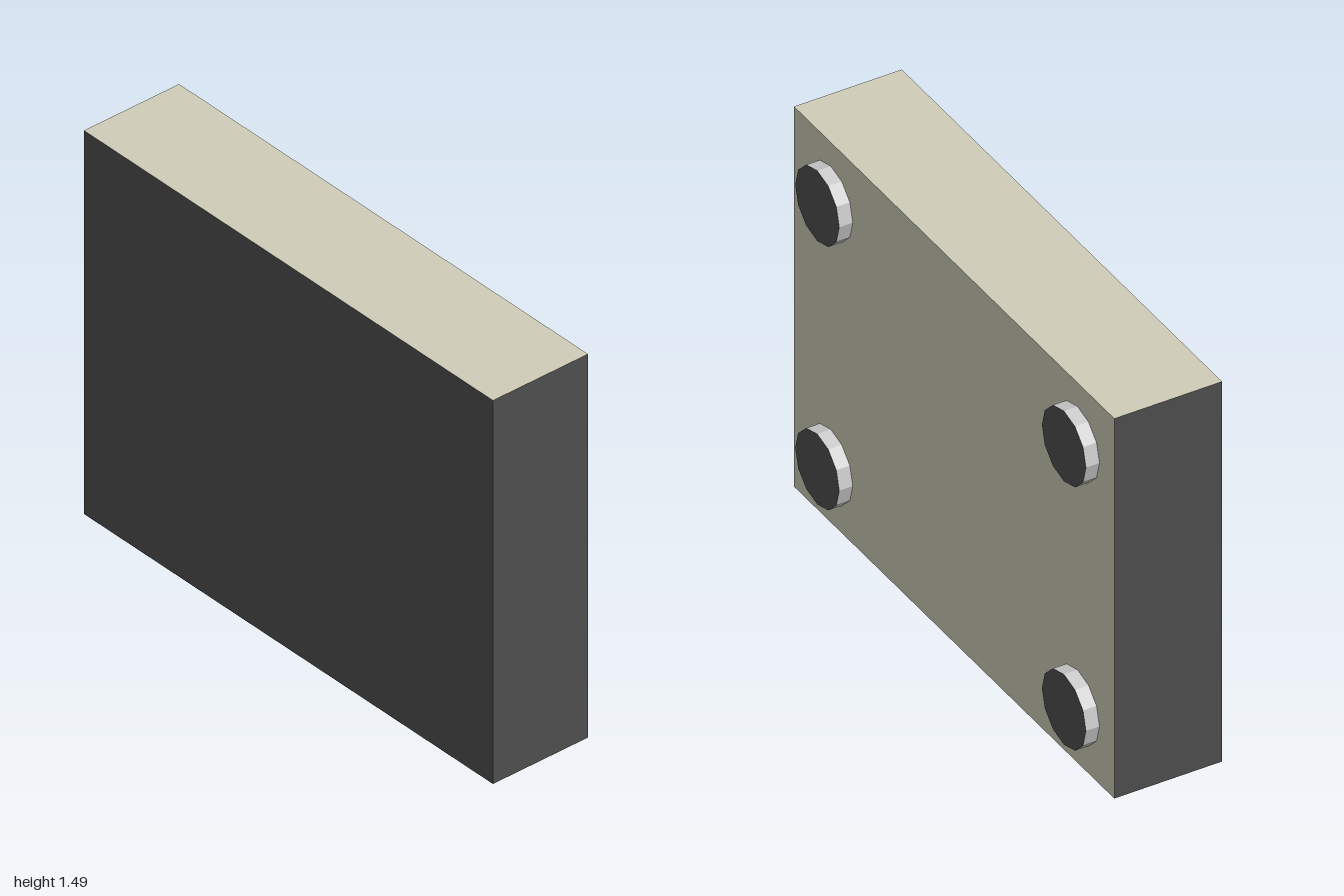
import * as THREE from 'three';

const mat = (color) => new THREE.MeshStandardMaterial({ color, flatShading: true });
const beige = mat(0xcfcdb8), dark = mat(0x505050), panel = mat(0x444444), black = mat(0x1c1c1c);
const slat = mat(0x5c5c5c), grey = mat(0xcccccc), green = mat(0x2c8a2c), red = mat(0xa81414);

// Overall extents of the case; small fittings reach from the panel down to y = 0
const W = 2, H = 1.49, Z0 = -0.175, Z1 = 0.225, ZC = 0.025, D = Z1 - Z0, LIP = 0.004;

export function createModel() {
  const model = new THREE.Group();
  const add = (name, geometry, material, x, y, z, parent = model) => {
    const mesh = new THREE.Mesh(geometry, material);
    mesh.name = name;
    mesh.position.set(x, y, z);
    parent.add(mesh);
    return mesh;
  };
  const rect = (Type, x0, x1, z0, z1) => {
    const s = new Type();
    s.moveTo(x0, -z0).lineTo(x0, -z1).lineTo(x1, -z1).lineTo(x1, -z0).closePath();
    return s;
  };

  // Case panels: dark front and sides, beige top and back
  const shell = new THREE.Group();
  shell.name = 'caseShell';
  model.add(shell);
  const hs = H - LIP, yc = LIP + hs / 2;
  add('frontPanel', new THREE.PlaneGeometry(W, hs), dark, 0, yc, Z1, shell);
  add('backPanel', new THREE.PlaneGeometry(W, hs), beige, 0, yc, Z0, shell).rotation.y = Math.PI;
  add('topPanel', new THREE.PlaneGeometry(W, D), beige, 0, H, ZC, shell).rotation.x = -Math.PI / 2;
  for (const s of [-1, 1]) {
    add('sidePanel', new THREE.PlaneGeometry(D, hs), dark, s, yc, ZC, shell).rotation.y = s * Math.PI / 2;
  }

  // Control panel underneath, with an opening for the slot
  const face = rect(THREE.Shape, -1, 1, Z0, Z1);
  face.holes.push(rect(THREE.Path, -0.738, 0.285, 0, 0.123));
  const panelMaterial = panel.clone();
  panelMaterial.side = THREE.DoubleSide;
  add('controlPanel', new THREE.ShapeGeometry(face), panelMaterial, 0, LIP, 0, shell).rotation.x = -Math.PI / 2;

  // Recessed slot: black rim, grey walls, dark floor with a groove
  const rim = rect(THREE.Shape, -0.785, 0.32, -0.02, 0.138);
  rim.holes.push(rect(THREE.Path, -0.738, 0.285, 0, 0.123));
  const rimGeometry = new THREE.ExtrudeGeometry(rim, { depth: 0.06, bevelEnabled: false });
  add('slotFrame', rimGeometry, [black, grey], 0, 0, 0).rotation.x = -Math.PI / 2;
  add('slotFloor', new THREE.BoxGeometry(1.06, 0.01, 0.15), panel, -0.227, 0.063, 0.06);
  add('slotGroove', new THREE.BoxGeometry(0.98, 0.006, 0.03), black, -0.227, 0.056, 0.07);

  // Flat fittings on the control panel
  const block = (name, material, x, z, w, d) =>
    add(name, new THREE.BoxGeometry(w, LIP, d), material, x, LIP / 2, z);
  const disc = (name, material, x, z, r, sides = 12) =>
    add(name, new THREE.CylinderGeometry(r, r, LIP, sides), material, x, LIP / 2, z);

  for (const x of [0.9, 0.797]) disc('greenButton', green, x, -0.097, 0.028);
  disc('greenLight', green, 0.264, -0.092, 0.022);
  disc('redButton', red, -0.876, -0.055, 0.036);
  block('label', slat, 0.857, 0.162, 0.2, 0.05);
  for (let i = 0; i < 3; i++) block('displaySlat', slat, 0.505, -0.106 + i * 0.063, 0.2, 0.045);
  for (let i = 0; i < 4; i++) block('smallKey', black, 0.574 - i * 0.056, 0.125, 0.034, 0.03);
  for (let i = 0; i < 5; i++) block('wideKey', black, 0.098 - i * 0.188, -0.093, 0.125, 0.05);
  block('rockerSwitch', black, -0.864, 0.089, 0.06, 0.11);

  // Four round feet on the back
  const footGeometry = new THREE.CylinderGeometry(0.1375, 0.1375, 0.05, 12);
  for (const x of [-0.77, 0.77]) {
    for (const y of [0.23, 1.26]) {
      add('foot', footGeometry, [grey, dark, dark], x, y, -0.2).rotation.x = -Math.PI / 2;
    }
  }
  return model;
}
